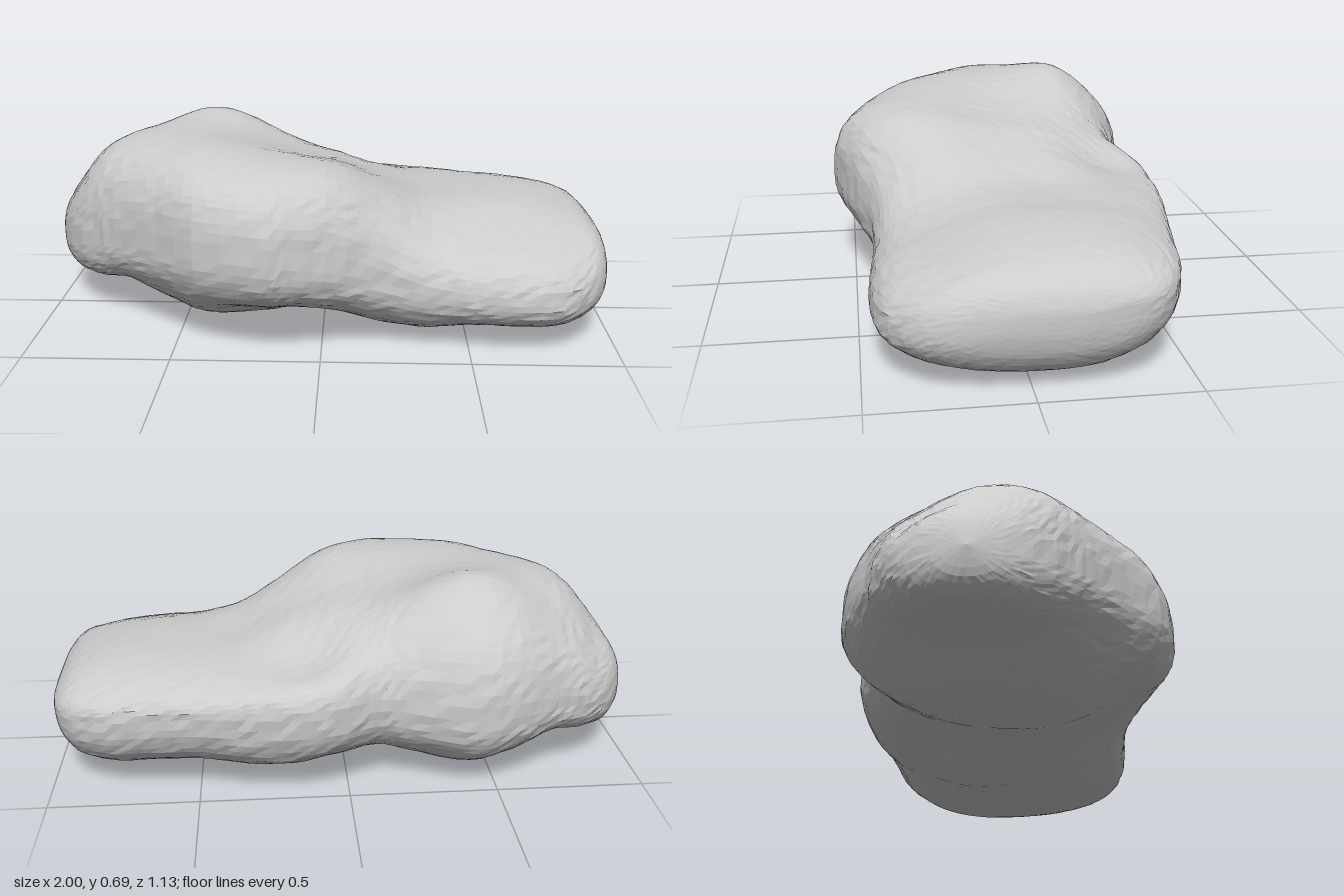
import * as THREE from 'three';
import { mergeVertices } from 'three/addons/utils/BufferGeometryUtils.js';

const RINGS = 76, SIDES = 72;

// Cross-sections along x: [x, back z, front z, back edge y, front edge y, top y, bottom y]
const stations = [
  [-1.0, -0.14, -0.14, 0.26, 0.26, 0.26, 0.26],
  [-0.97, -0.25, -0.03, 0.26, 0.26, 0.37, 0.17],
  [-0.9, -0.35, 0.08, 0.27, 0.27, 0.48, 0.12],
  [-0.8, -0.415, 0.17, 0.28, 0.29, 0.6, 0.11],
  [-0.7, -0.46, 0.25, 0.29, 0.31, 0.65, 0.12],
  [-0.55, -0.535, 0.37, 0.3, 0.34, 0.675, 0.055],
  [-0.4, -0.565, 0.49, 0.3, 0.36, 0.68, 0.01],
  [-0.2, -0.51, 0.56, 0.31, 0.36, 0.67, 0.035],
  [-0.1, -0.5, 0.55, 0.32, 0.35, 0.668, 0.055],
  [0.05, -0.56, 0.5, 0.33, 0.32, 0.655, 0.05],
  [0.2, -0.565, 0.445, 0.33, 0.27, 0.58, 0.008],
  [0.35, -0.55, 0.44, 0.33, 0.23, 0.49, 0.0],
  [0.5, -0.52, 0.455, 0.32, 0.21, 0.455, 0.025],
  [0.65, -0.495, 0.465, 0.31, 0.2, 0.45, 0.03],
  [0.8, -0.47, 0.445, 0.3, 0.2, 0.432, 0.03],
  [0.91, -0.42, 0.37, 0.29, 0.21, 0.4, 0.065],
  [0.97, -0.34, 0.27, 0.29, 0.22, 0.35, 0.13],
  [0.995, -0.2, 0.12, 0.28, 0.24, 0.3, 0.2],
  [1.0, -0.04, -0.04, 0.26, 0.26, 0.26, 0.26],
];

// Smooth bumps and dents: [x, z, radius x, radius z, height]
const topBumps = [
  [0.02, -0.06, 0.3, 0.25, -0.085],
  [-0.4, -0.3, 0.2, 0.13, 0.045],
  [0.1, -0.42, 0.2, 0.2, -0.14],
  [-0.82, -0.36, 0.2, 0.17, -0.1],
  [0.7, 0.34, 0.35, 0.2, -0.055],
  [0.65, -0.28, 0.22, 0.14, 0.01],
];
const bottomBumps = [
  [-0.3, 0.4, 0.32, 0.2, 0.08],
  [0.3, -0.35, 0.3, 0.15, 0.04],
  [0.4, -0.03, 0.25, 0.12, 0.03],
];

const bumps = (list, x, z) => list.reduce((sum, [bx, bz, rx, rz, h]) =>
  sum + h * Math.exp(-(((x - bx) / rx) ** 2) - ((z - bz) / rz) ** 2), 0);

// Catmull-Rom blend of neighbouring stations
function stationAt(t) {
  const last = stations.length - 1;
  const f = t * last, i = Math.min(Math.floor(f), last - 1), u = f - i;
  const at = (k) => stations[Math.max(0, Math.min(last, k))];
  return stations[0].map((_, c) => {
    const a = at(i - 1)[c], b = at(i)[c], d = at(i + 1)[c], e = at(i + 2)[c];
    return b + 0.5 * u * (d - a + u * (2 * a - 5 * b + 4 * d - e + u * (3 * (b - d) + e - a)));
  });
}

const power = (v, e) => Math.sign(v) * Math.abs(v) ** e;

// Small seeded jitter for the uneven facets
let seed = 7;
function jitter() {
  seed = (seed * 16807) % 2147483647;
  return (seed / 2147483647 - 0.5) * 0.006;
}

// Corner roundness: the tall end is square at the front, the low end at the back
function roundness(x, c, s) {
  if (s <= 0) return 0.86;
  const low = THREE.MathUtils.smoothstep(x, -0.05, 0.45);
  const front = THREE.MathUtils.lerp(0.66, 0.86, low);
  const back = THREE.MathUtils.lerp(0.82, 0.74, low);
  return THREE.MathUtils.lerp(back, front, (c + 1) / 2);
}

function stonePoint(i, j) {
  const [x, zb, zf, yb, yf, top, bottom] = stationAt(i / RINGS);
  const angle = (j / SIDES) * Math.PI * 2;
  const c = Math.cos(angle), s = Math.sin(angle);
  const e = roundness(x, c, s);
  const side = power(c, e), rise = power(s, e);
  const z = (zb + zf) / 2 + side * (zf - zb) / 2;
  const edge = (yb + yf) / 2 + side * (yf - yb) / 2;
  if (i === 0 || i === RINGS) return [x, edge, z];
  // dents fade out toward both ends
  const fade = Math.min(1, (1 - Math.abs(x)) * 8);
  const limit = s > 0 ? top + bumps(topBumps, x, z) * fade : bottom + bumps(bottomBumps, x, z) * fade;
  const y = edge + Math.abs(rise) * (limit - edge);
  const ripple = 0.004 * Math.sin(9 * x + 5 * z) * Math.sin(8 * z - 4 * y) * fade;
  return [x + jitter() * fade, Math.max(0, y + ripple + jitter() * 0.2), z + jitter() * fade];
}

function stoneGeometry() {
  const positions = [], index = [];
  for (let i = 0; i <= RINGS; i++) {
    for (let j = 0; j < SIDES; j++) positions.push(...stonePoint(i, j));
  }
  for (let i = 0; i < RINGS; i++) {
    for (let j = 0; j < SIDES; j++) {
      const k = (j + 1) % SIDES;
      const a = i * SIDES + j, b = a + SIDES, d = i * SIDES + k, e = d + SIDES;
      if (i < RINGS - 1) index.push(a, b, e);
      else index.push(a, b, d);
      if (i > 0 && i < RINGS - 1) index.push(a, e, d);
    }
  }
  const geometry = new THREE.BufferGeometry();
  geometry.setAttribute('position', new THREE.Float32BufferAttribute(positions, 3));
  geometry.setIndex(index);
  const merged = mergeVertices(geometry, 1e-5);
  merged.computeVertexNormals();
  return merged;
}

export function createModel() {
  seed = 7;
  const group = new THREE.Group();
  group.name = 'rock';
  const stoneGrey = new THREE.MeshStandardMaterial({ color: 0xcccccc });
  stoneGrey.name = 'stoneGrey';
  stoneGrey.flatShading = true;
  const stone = new THREE.Mesh(stoneGeometry(), stoneGrey);
  stone.name = 'stone';
  group.add(stone);
  return group;
}
